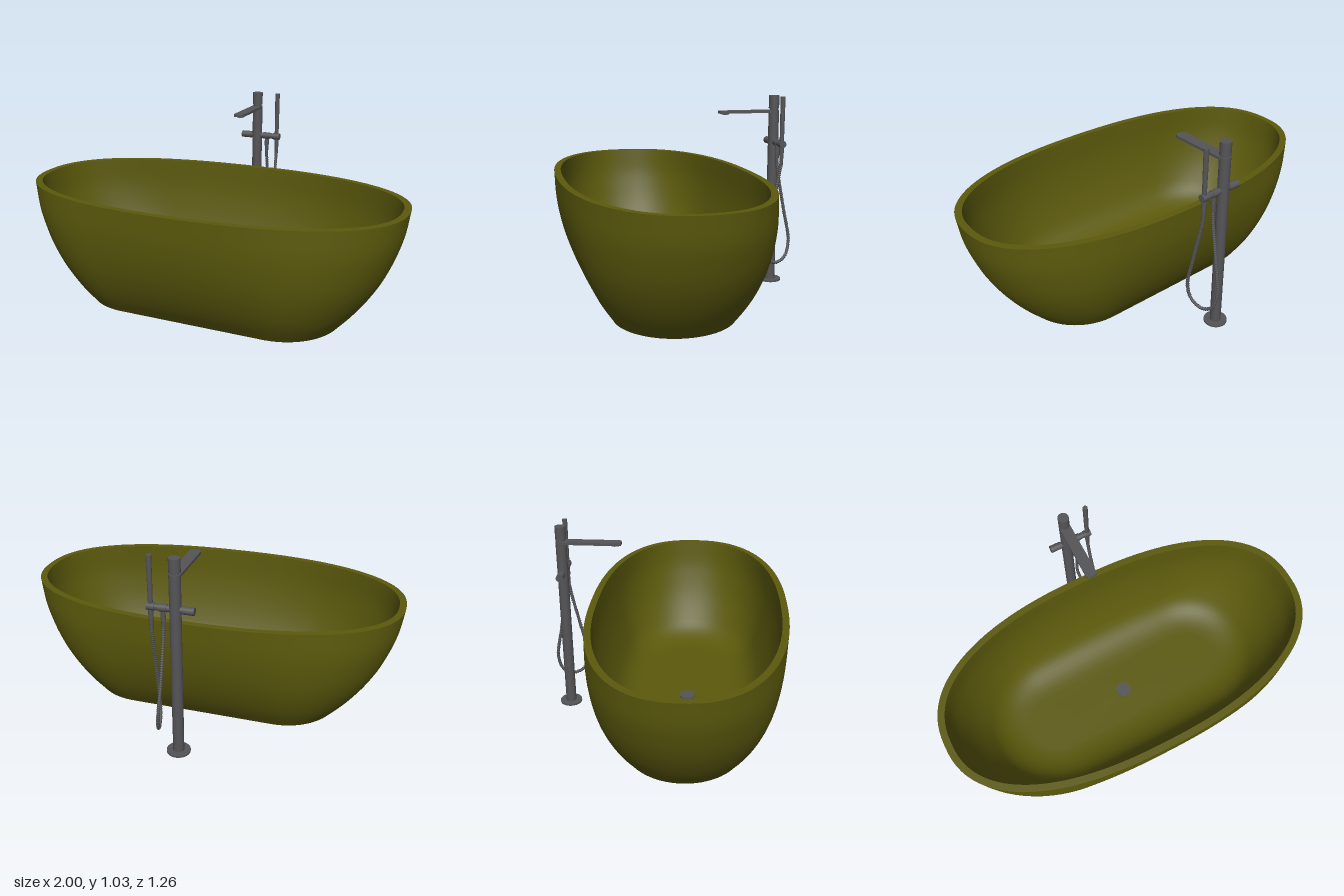
import * as THREE from 'three';

const olive = new THREE.MeshStandardMaterial({ color: 0x5c5a0c });
const metal = new THREE.MeshStandardMaterial({ color: 0x555558 });
const SEG = 112, TUB_Z = 0.115, TAP_Z = -0.545, HEIGHT = 0.635;

// Oval outline: a stadium at k = 0, turning into a superellipse at k = 1
function outline(a, b, y, k) {
  const pts = [];
  for (let i = 0; i < SEG; i++) {
    const t = (i / SEG) * Math.PI * 2, u = Math.cos(t), v = Math.abs(u);
    const over = Math.max(0, (v * a - (a - b)) / b);
    const stadium = Math.sqrt(Math.max(0, 1 - over * over));
    const oval = Math.pow(Math.max(0, 1 - Math.pow(v, 2.35)), 1 / 2.35);
    pts.push([a * u, y, Math.sign(Math.sin(t)) * b * (stadium + (oval - stadium) * k)]);
  }
  return pts;
}

// Skin a list of sections [a, b, y, k]
function loft(name, sections, parent) {
  const pos = [], idx = [];
  sections.forEach(s => outline(...s).forEach(p => pos.push(...p)));
  for (let r = 0; r < sections.length - 1; r++) {
    for (let i = 0; i < SEG; i++) {
      const j = (i + 1) % SEG, a = r * SEG + i, b = r * SEG + j;
      idx.push(a, a + SEG, b, b, a + SEG, b + SEG);
    }
  }
  const g = new THREE.BufferGeometry();
  g.setAttribute('position', new THREE.Float32BufferAttribute(pos, 3));
  g.setIndex(idx);
  g.computeVertexNormals();
  return add(name, g, parent, olive);
}

function add(name, geo, parent, material = metal, x = 0, y = 0, z = 0) {
  const m = new THREE.Mesh(geo, material);
  m.name = name;
  m.position.set(x, y, z);
  parent.add(m);
  return m;
}

// Upright cylinder between two heights
function post(name, parent, x, z, y0, y1, r0, r1 = r0) {
  return add(name, new THREE.CylinderGeometry(r1, r0, y1 - y0, 32), parent, metal, x, (y0 + y1) / 2, z);
}

// Horizontal cylinder along x
function bar(name, parent, x0, x1, y, r) {
  const m = add(name, new THREE.CylinderGeometry(r, r, x1 - x0, 28), parent, metal, (x0 + x1) / 2, y, 0);
  m.rotation.z = Math.PI / 2;
  return m;
}

function buildTub() {
  const tub = new THREE.Group();
  tub.name = 'bathtub';
  tub.position.z = TUB_Z;
  // Wall profile: half length, height, half width
  const wall = new THREE.CatmullRomCurve3([
    [0.70, 0, 0.305], [0.785, 0.1, 0.375], [0.855, 0.2, 0.427], [0.91, 0.3, 0.465],
    [0.95, 0.4, 0.491], [0.98, 0.5, 0.507], [1, HEIGHT, 0.515],
  ].map(p => new THREE.Vector3(...p)));
  const outer = wall.getPoints(28);
  const section = (p, inset) => [p.x - inset, p.z - inset, p.y, p.y / HEIGHT];
  loft('outerWall', outer.map(p => section(p, 0)), tub);
  loft('underside', [[0.001, 0.0005, 0, 0], [0.70, 0.305, 0, 0]], tub);
  loft('rim', [[1, 0.515, HEIGHT, 1], [0.965, 0.48, HEIGHT, 1]], tub);

  // Inner wall follows the outer one, then rounds into the floor
  const inner = outer.filter(p => p.y > 0.15).reverse().map(p => section(p, 0.035));
  const [a, b, y, k] = inner[inner.length - 1];
  for (let i = 1; i <= 8; i++) {
    const t = i / 8, q = (1 - t) * (1 - t);
    const inset = 0.12 * t + 0.10 * t * t;
    inner.push([a - inset, b - inset, 0.06 + (y - 0.06) * q, k * (1 - t)]);
  }
  const e = inner[inner.length - 1];
  inner.push([e[0] * 0.6, e[1] * 0.6, 0.06, 0], [0.001, 0.0005, 0.06, 0]);
  loft('innerBasin', inner, tub);
  post('drain', tub, 0, 0, 0.055, 0.068, 0.042);
  return tub;
}

function buildTap() {
  const tap = new THREE.Group();
  tap.name = 'floorTap';
  tap.position.z = TAP_Z;
  post('baseFlange', tap, 0, 0, 0, 0.01, 0.06);
  post('column', tap, 0, 0, 0.01, 0.958, 0.028);
  post('knobGroove', tap, 0, 0, 0.957, 0.967, 0.022);
  post('knob', tap, 0, 0, 0.966, 1.035, 0.028);

  // Flat spout with a rounded tip
  const s = new THREE.Shape();
  s.moveTo(-0.028, 0);
  s.lineTo(0.028, 0);
  s.lineTo(0.028, -0.295);
  s.quadraticCurveTo(0.028, -0.313, 0.01, -0.313);
  s.lineTo(-0.01, -0.313);
  s.quadraticCurveTo(-0.028, -0.313, -0.028, -0.295);
  const spout = add('spout', new THREE.ExtrudeGeometry(s, { depth: 0.014, bevelEnabled: false }), tap, metal, 0, 0.944, 0);
  spout.rotation.x = -Math.PI / 2;
  spout.scale.y = -1;
  spout.geometry.scale(1, -1, 1);
  spout.scale.y = 1;
  // Reversing one axis flips the faces, so swap the corners back
  const p = spout.geometry.attributes.position, n = p.count;
  for (let i = 0; i < n; i += 3) {
    const v1 = [p.getX(i + 1), p.getY(i + 1), p.getZ(i + 1)];
    p.setXYZ(i + 1, p.getX(i + 2), p.getY(i + 2), p.getZ(i + 2));
    p.setXYZ(i + 2, ...v1);
  }
  spout.rotation.x = Math.PI / 2;
  spout.position.y = 0.958;
  spout.geometry.computeVertexNormals();
  post('aerator', tap, 0, 0.277, 0.938, 0.945, 0.019);

  // Cross bar with collars and the hand shower holder
  bar('crossBar', tap, -0.09, 0.135, 0.785, 0.016);
  bar('divertorKnob', tap, -0.092, -0.035, 0.785, 0.019);
  bar('hoseCollar', tap, 0.04, 0.075, 0.785, 0.019);
  bar('showerHolder', tap, 0.1, 0.138, 0.785, 0.019);
  post('handShower', tap, 0.12, 0, 0.755, 1.035, 0.011, 0.013);
  for (const x of [0.06, 0.12]) {
    post('hoseNut', tap, x, 0, 0.725, 0.77, 0.012);
    post('hoseSleeve', tap, x, 0, 0.66, 0.726, 0.008, 0.011);
  }

  // Ribbed hose hanging in a loop
  const path = new THREE.CatmullRomCurve3([
    [0.06, 0.7, 0], [0.061, 0.62, -0.008], [0.065, 0.42, -0.045], [0.074, 0.24, -0.075],
    [0.085, 0.155, -0.05], [0.1, 0.128, 0.005], [0.114, 0.155, 0.062], [0.125, 0.24, 0.085],
    [0.123, 0.42, 0.052], [0.12, 0.62, 0.01], [0.12, 0.7, 0],
  ].map(v => new THREE.Vector3(...v)));
  const sides = 10, hose = new THREE.TubeGeometry(path, 420, 0.0085, sides);
  const hp = hose.attributes.position, hn = hose.attributes.normal;
  for (let i = 0; i < hp.count; i++) {
    const d = Math.floor(i / (sides + 1)) % 4 < 2 ? 0.0008 : -0.0012;
    hp.setXYZ(i, hp.getX(i) + hn.getX(i) * d, hp.getY(i) + hn.getY(i) * d, hp.getZ(i) + hn.getZ(i) * d);
  }
  hose.computeVertexNormals();
  add('hose', hose, tap);
  return tap;
}

export function createModel() {
  const model = new THREE.Group();
  model.name = 'bathtubWithTap';
  model.add(buildTub(), buildTap());
  return model;
}
